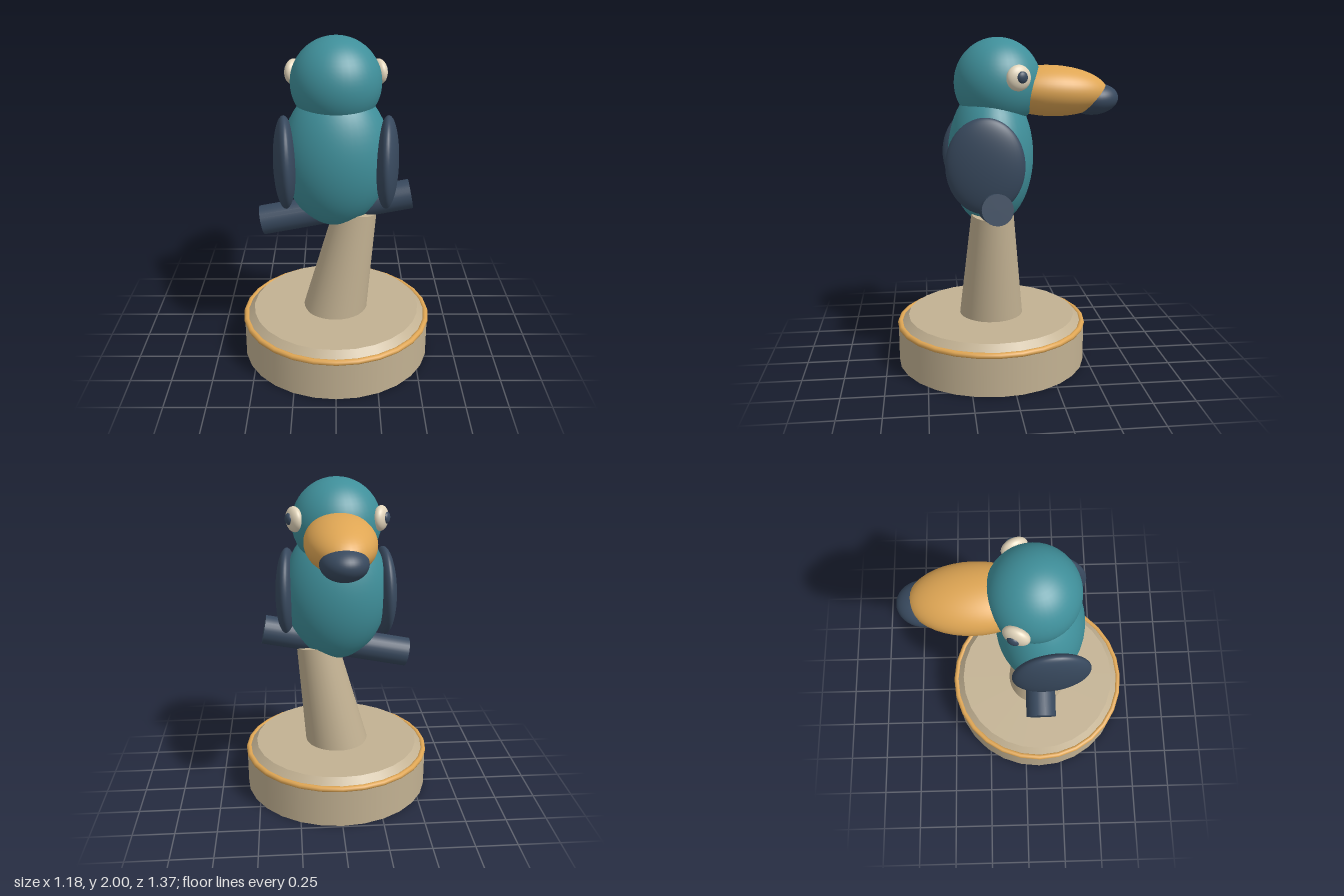
import * as THREE from 'three';

const mat = (name, color) => {
  const m = new THREE.MeshStandardMaterial({ color });
  m.name = name;
  return m;
};

export function createModel() {
  const teal = mat('teal', 0x3f8f9a);
  const navy = mat('navy', 0x38495e);
  const orange = mat('orange', 0xdfa654);
  const stone = mat('stone', 0xc2b192);
  const cream = mat('cream', 0xe2d5bb);

  const model = new THREE.Group();
  model.name = 'perchedBird';
  const Z = 0.092; // axis of stand and body

  const add = (name, geometry, material, x, y, z) => {
    const mesh = new THREE.Mesh(geometry, material);
    mesh.name = name;
    mesh.position.set(x, y, z);
    model.add(mesh);
    return mesh;
  };
  const ellipsoid = (name, material, [x, y, z], [rx, ry, rz]) =>
    add(name, new THREE.SphereGeometry(1, 40, 28).scale(rx, ry, rz), material, x, y, z);

  // Round stand with bevelled top and ring
  const SIDES = 28;
  add('standDrum', new THREE.CylinderGeometry(0.585, 0.585, 0.25, SIDES), stone, 0, 0.125, Z);
  add('standTop', new THREE.CylinderGeometry(0.52, 0.57, 0.05, SIDES), stone, 0, 0.273, Z);
  add('standRing', new THREE.TorusGeometry(0.572, 0.018, 10, SIDES).rotateX(Math.PI / 2), orange, 0, 0.247, Z);

  // Leaning post and tilted perch
  const lean = 0.18;
  const post = add('post', new THREE.CylinderGeometry(0.127, 0.2, 0.71, 32), stone,
    -0.005 + 0.355 * Math.sin(lean), 0.27 + 0.355 * Math.cos(lean), Z);
  post.rotation.z = -lean;
  const perch = add('perch', new THREE.CylinderGeometry(0.09, 0.09, 0.915, 24), navy, 0, 0.975, Z);
  perch.rotation.z = 0.192 - Math.PI / 2;

  // Body and head
  ellipsoid('body', teal, [0, 1.3, Z], [0.32, 0.43, 0.258]);
  ellipsoid('head', teal, [0, 1.735, 0.048], [0.265, 0.265, 0.26]);

  // Beak with drooping tip
  ellipsoid('beak', orange, [0, 1.685, -0.27], [0.205, 0.152, 0.35]).rotation.x = -0.04;
  ellipsoid('beakTip', navy, [0, 1.633, -0.535], [0.132, 0.095, 0.15]).rotation.x = 0.08;

  // Wings and eyes, mirrored
  for (const [side, s] of [['left', 1], ['right', -1]]) {
    ellipsoid(side + 'Wing', navy, [s * 0.3, 1.282, 0.148], [0.068, 0.278, 0.228]).rotation.y = -s * 0.1;
    ellipsoid(side + 'Eye', cream, [s * 0.25, 1.775, -0.047], [0.042, 0.074, 0.077]).rotation.y = s * 0.42;
    ellipsoid(side + 'Pupil', navy, [s * 0.281, 1.78, -0.064], [0.02, 0.034, 0.034]).rotation.y = s * 0.42;
  }

  return model;
}
